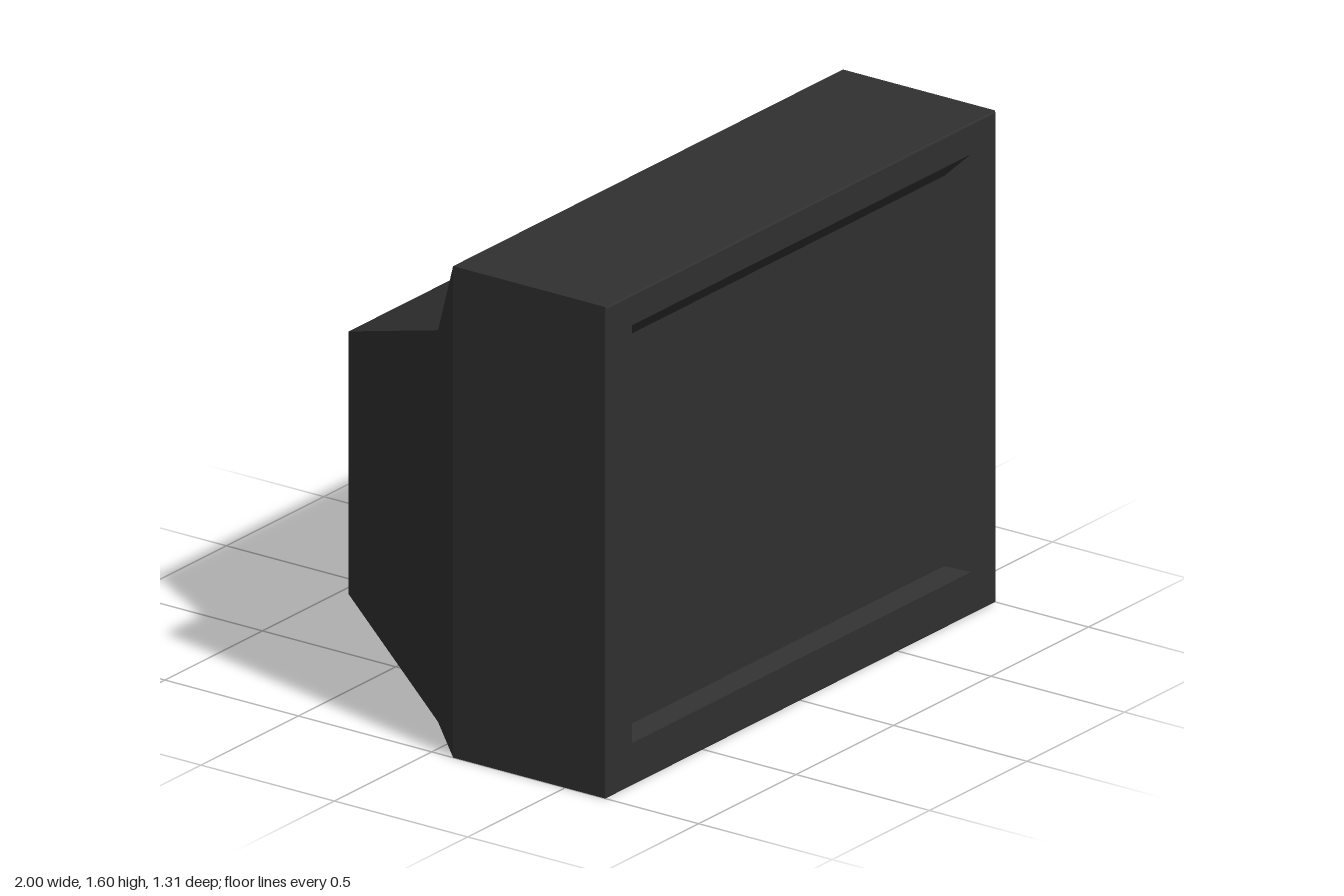
import * as THREE from 'three';

// Rectangular cross-sections, front to back: [z, half width, bottom y, top y]
const screenEdge = [0.605, 0.80, 0.17, 1.44];
const recessRim = [0.655, 0.87, 0.14, 1.50];
const frameRim = [0.655, 0.995, 0.005, 1.595];
const caseFront = [0.65, 1, 0, 1.6];
const caseBack = [0.08, 1, 0, 1.6];
const shoulder = [-0.13, 0.79, 0, 1.275];
const rear = [-0.655, 0.53, 0.21, 1.065];

// Corners counterclockwise as seen from the front
const corners = ([z, w, y0, y1]) => [[-w, y0, z], [w, y0, z], [w, y1, z], [-w, y1, z]];

function quadsGeometry(quads) {
  const positions = [];
  for (const [a, b, c, d] of quads) positions.push(...a, ...b, ...c, ...a, ...c, ...d);
  const geometry = new THREE.BufferGeometry();
  geometry.setAttribute('position', new THREE.Float32BufferAttribute(positions, 3));
  geometry.computeVertexNormals();
  return geometry;
}

// Four walls between each pair of neighbouring sections
function loft(...sections) {
  const quads = [];
  for (let i = 0; i < sections.length - 1; i++) {
    const a = corners(sections[i]);
    const b = corners(sections[i + 1]);
    for (let k = 0; k < 4; k++) {
      const n = (k + 1) % 4;
      quads.push([a[k], b[k], b[n], a[n]]);
    }
  }
  return quadsGeometry(quads);
}

export function createModel() {
  const group = new THREE.Group();
  group.name = 'boxyMonitor';
  const plastic = new THREE.MeshStandardMaterial({ color: 0x303030 });
  plastic.name = 'dark grey plastic';

  const add = (name, geometry) => {
    const mesh = new THREE.Mesh(geometry, plastic);
    mesh.name = name;
    group.add(mesh);
  };

  // Sunken screen with its sloped surround
  add('screen', quadsGeometry([corners(screenEdge)]));
  add('screenBevel', loft(screenEdge, recessRim));

  // Flat front frame with a fine edge chamfer
  add('frontFrame', loft(recessRim, frameRim, caseFront));

  // Box body, shoulder slope and tapered tube housing
  add('caseBody', loft(caseFront, caseBack));
  add('shoulder', loft(caseBack, shoulder));
  add('rearHousing', loft(shoulder, rear));
  add('backPanel', quadsGeometry([corners(rear).reverse()]));

  return group;
}
